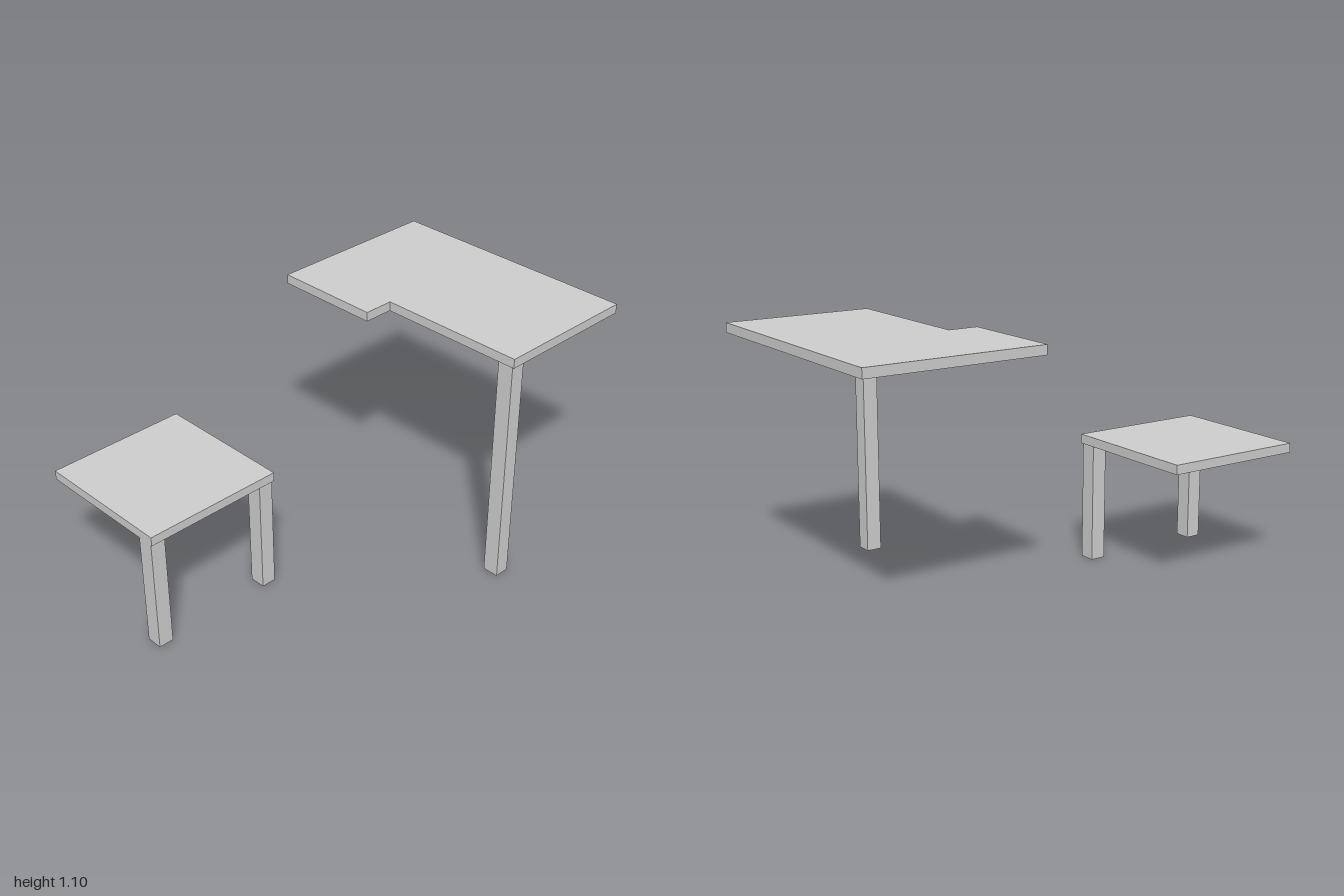
import * as THREE from 'three';

const material = new THREE.MeshStandardMaterial({ color: 0xcccccc, flatShading: true });

// Box given by its extents along each axis
function block(name, [x0, x1], [y0, y1], [z0, z1]) {
  const mesh = new THREE.Mesh(new THREE.BoxGeometry(x1 - x0, y1 - y0, z1 - z0), material);
  mesh.position.set((x0 + x1) / 2, (y0 + y1) / 2, (z0 + z1) / 2);
  mesh.name = name;
  return mesh;
}

// Flat slab with an outline of [x, z] corners
function slab(name, outline, y0, y1) {
  const shape = new THREE.Shape(outline.map(([x, z]) => new THREE.Vector2(x, -z)));
  const geometry = new THREE.ExtrudeGeometry(shape, { depth: y1 - y0, bevelEnabled: false });
  geometry.rotateX(-Math.PI / 2);
  const mesh = new THREE.Mesh(geometry, material);
  mesh.position.y = y0;
  mesh.name = name;
  return mesh;
}

export function createModel() {
  const model = new THREE.Group();
  model.name = 'canopies';

  // High roof with a stepped front edge on a single post
  const high = new THREE.Group();
  high.name = 'highCanopy';
  high.add(
    slab('highRoof', [
      [-0.52, -0.195], [-0.03, -0.195], [-0.03, -0.332],
      [0.65, -0.332], [0.65, -1], [-0.52, -1],
    ], 1.055, 1.097),
    block('highPost', [0.567, 0.64], [0.006, 1.055], [-0.405, -0.337]),
  );

  // Low square roof on two posts along its left side
  const low = new THREE.Group();
  low.name = 'lowCanopy';
  low.add(block('lowRoof', [-0.655, -0.014], [0.522, 0.563], [0.36, 1]));
  for (const [name, z] of [['frontPost', [0.931, 0.999]], ['backPost', [0.367, 0.435]]]) {
    low.add(block(name, [-0.094, -0.021], [0, 0.522], z));
  }

  model.add(high, low);
  return model;
}
